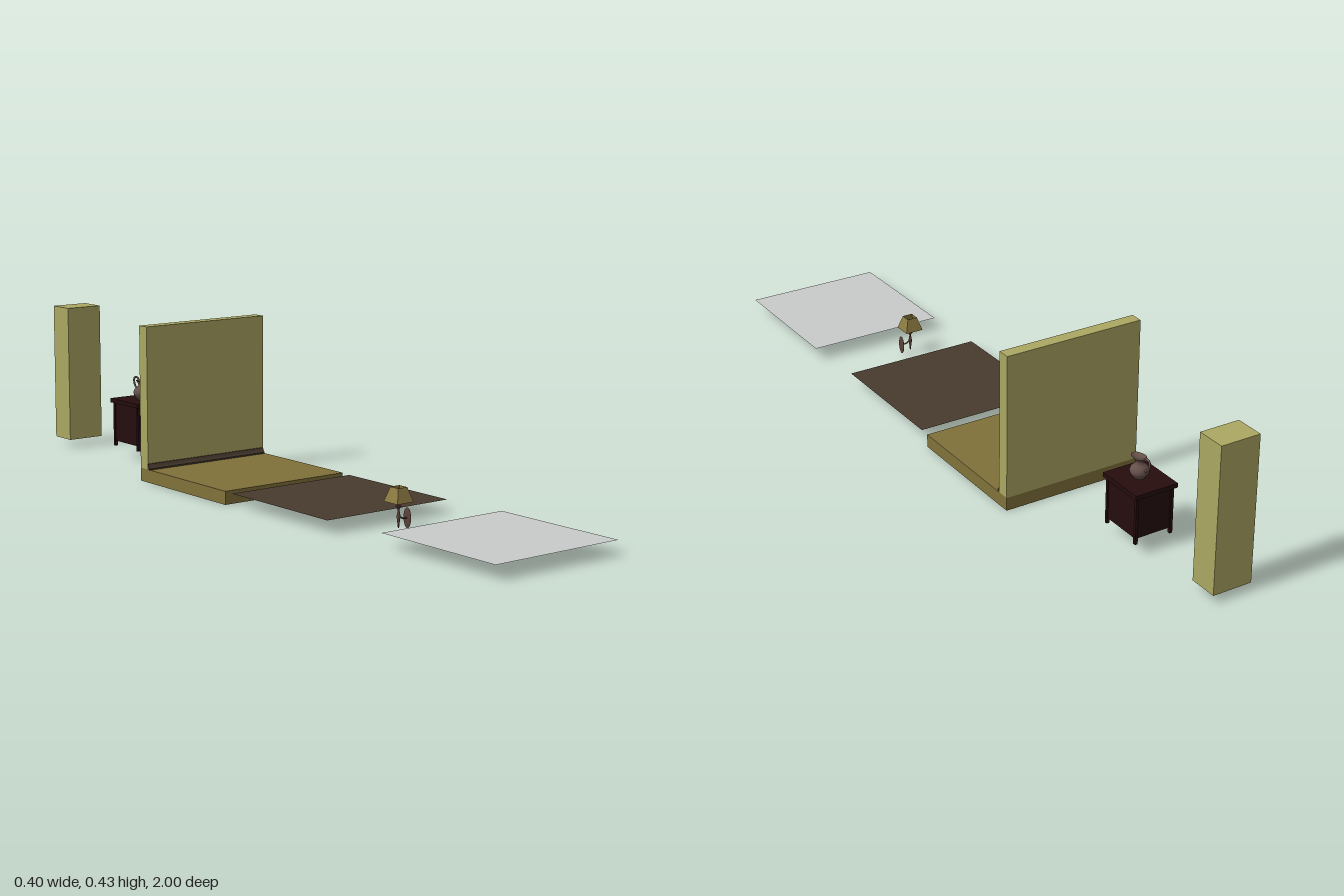
import * as THREE from 'three';

const mat = (name, color, double = false) => {
  const m = new THREE.MeshStandardMaterial({ color, side: double ? THREE.DoubleSide : THREE.FrontSide });
  m.name = name;
  return m;
};

export function createModel() {
  const plaster = mat('olive plaster', 0xaba763);
  const boards = mat('ochre floor', 0x80713a);
  const brown = mat('dark brown', 0x483a2d, true);
  const pane = mat('pale grey', 0xc9cbca, true);
  const darkWood = mat('dark wood', 0x260d0e);
  const fabric = mat('lampshade fabric', 0x8c7a42, true);
  const bronze = mat('bronze', 0x5c423a, true);
  const clay = mat('jug clay', 0x66504a, true);

  const model = new THREE.Group();
  const add = (parent, name, geometry, material, x = 0, y = 0, z = 0) => {
    const mesh = new THREE.Mesh(geometry, material);
    mesh.name = name;
    mesh.position.set(x, y, z);
    parent.add(mesh);
    return mesh;
  };
  // Box given by its two extreme corners
  const box = (parent, name, material, [x0, y0, z0], [x1, y1, z1]) =>
    add(parent, name, new THREE.BoxGeometry(x1 - x0, y1 - y0, z1 - z0), material,
      (x0 + x1) / 2, (y0 + y1) / 2, (z0 + z1) / 2);
  const group = (name, x, y, z) => {
    const g = new THREE.Group();
    g.name = name;
    g.position.set(x, y, z);
    model.add(g);
    return g;
  };
  const lathe = (points, segments) =>
    new THREE.LatheGeometry(points.map(([r, y]) => new THREE.Vector2(r, y)), segments);
  const tube = (points, radius, segments = 16) =>
    new THREE.TubeGeometry(new THREE.CatmullRomCurve3(points.map(p => new THREE.Vector3(...p))), segments, radius, 8);

  // Room corner: floor slab, wall and freestanding pillar
  box(model, 'floor', boards, [-0.201, 0, -0.391], [0.191, 0.036, 0]);
  box(model, 'wall', plaster, [-0.201, 0.036, -0.391], [0.191, 0.427, -0.356]);
  box(model, 'pillar', plaster, [-0.097, 0.022, -1], [0.013, 0.414, -0.921]);

  // Skirting board with a stepped, bevelled profile
  const profile = new THREE.Shape([[0, 0], [0.011, 0], [0.011, 0.004], [0.007, 0.009], [0.004, 0.016], [0, 0.016]]
    .map(([z, y]) => new THREE.Vector2(-z, y)));
  const skirting = add(model, 'skirtingBoard',
    new THREE.ExtrudeGeometry(profile, { depth: 0.391, bevelEnabled: false }), brown, -0.203, 0.036, -0.356);
  skirting.rotation.y = Math.PI / 2;

  // Flat sheets: rug and pane
  const sheet = (name, material, x, y, z) => {
    add(model, name, new THREE.PlaneGeometry(0.391, 0.391), material, x, y, z).rotation.x = -Math.PI / 2;
  };
  sheet('rug', brown, -0.006, 0.035, 0.226);
  sheet('glassPane', pane, 0.006, 0.037, 0.805);

  // Nightstand: cabinet, overhanging top and corner posts
  const stand = group('nightstand', -0.01, 0, -0.671);
  box(stand, 'cabinet', darkWood, [-0.052, 0.045, -0.059], [0.052, 0.157, 0.059]);
  box(stand, 'standTop', darkWood, [-0.061, 0.157, -0.069], [0.061, 0.169, 0.069]);
  for (const sx of [-1, 1]) for (const sz of [-1, 1])
    add(stand, 'post', new THREE.BoxGeometry(0.008, 0.126, 0.008), darkWood, sx * 0.051, 0.094, sz * 0.059);

  // Jug with a spout towards the front and a looped handle behind
  const jug = group('jug', -0.01, 0.169, -0.667);
  const body = lathe([[0, 0], [0.014, 0], [0.015, 0.003], [0.022, 0.012], [0.025, 0.02], [0.022, 0.029],
    [0.014, 0.036], [0.01, 0.041], [0.012, 0.048], [0.017, 0.055]], 20);
  const p = body.attributes.position;
  for (let i = 0; i < p.count; i++) {
    const lift = Math.max(0, (p.getY(i) - 0.043) / 0.012);
    if (p.getZ(i) > 0) p.setZ(i, p.getZ(i) * (1 + 0.7 * lift));
  }
  body.computeVertexNormals();
  add(jug, 'jugBody', body, clay);
  add(jug, 'jugHandle', tube([[0, 0.051, -0.013], [0, 0.061, -0.024], [0, 0.058, -0.038],
    [0, 0.043, -0.039], [0, 0.031, -0.03], [0, 0.026, -0.021]], 0.0028, 24), clay);

  // Wall lamp: square shade, stem, cup, spindle, arm and oval back plate
  const lamp = group('wallLamp', -0.051, 0, 0.511);
  const shade = new THREE.CylinderGeometry(0.0145 * Math.SQRT2, 0.026 * Math.SQRT2, 0.037, 4, 1, true).toNonIndexed();
  shade.rotateY(Math.PI / 4);
  shade.computeVertexNormals();
  add(lamp, 'lampshade', shade, fabric, 0, 0.0955, 0);
  add(lamp, 'stem', new THREE.CylinderGeometry(0.0012, 0.0012, 0.046, 8), bronze, 0, 0.083, 0);
  add(lamp, 'cup', lathe([[0.002, 0.056], [0.004, 0.061], [0.008, 0.065], [0.007, 0.067], [0, 0.067]], 12), bronze);
  add(lamp, 'spindle', lathe([[0, 0.01], [0.002, 0.014], [0.0025, 0.022], [0.0045, 0.036],
    [0.0045, 0.043], [0.003, 0.052], [0.0015, 0.058]], 12), bronze);
  add(lamp, 'arm', tube([[0.002, 0.041, 0], [0.009, 0.036, 0], [0.017, 0.033, 0], [0.028, 0.034, 0]], 0.002), bronze);
  const plate = add(lamp, 'backPlate', new THREE.SphereGeometry(1, 20, 12), bronze, 0.0285, 0.033, 0);
  plate.scale.set(0.0025, 0.026, 0.014);

  return model;
}
